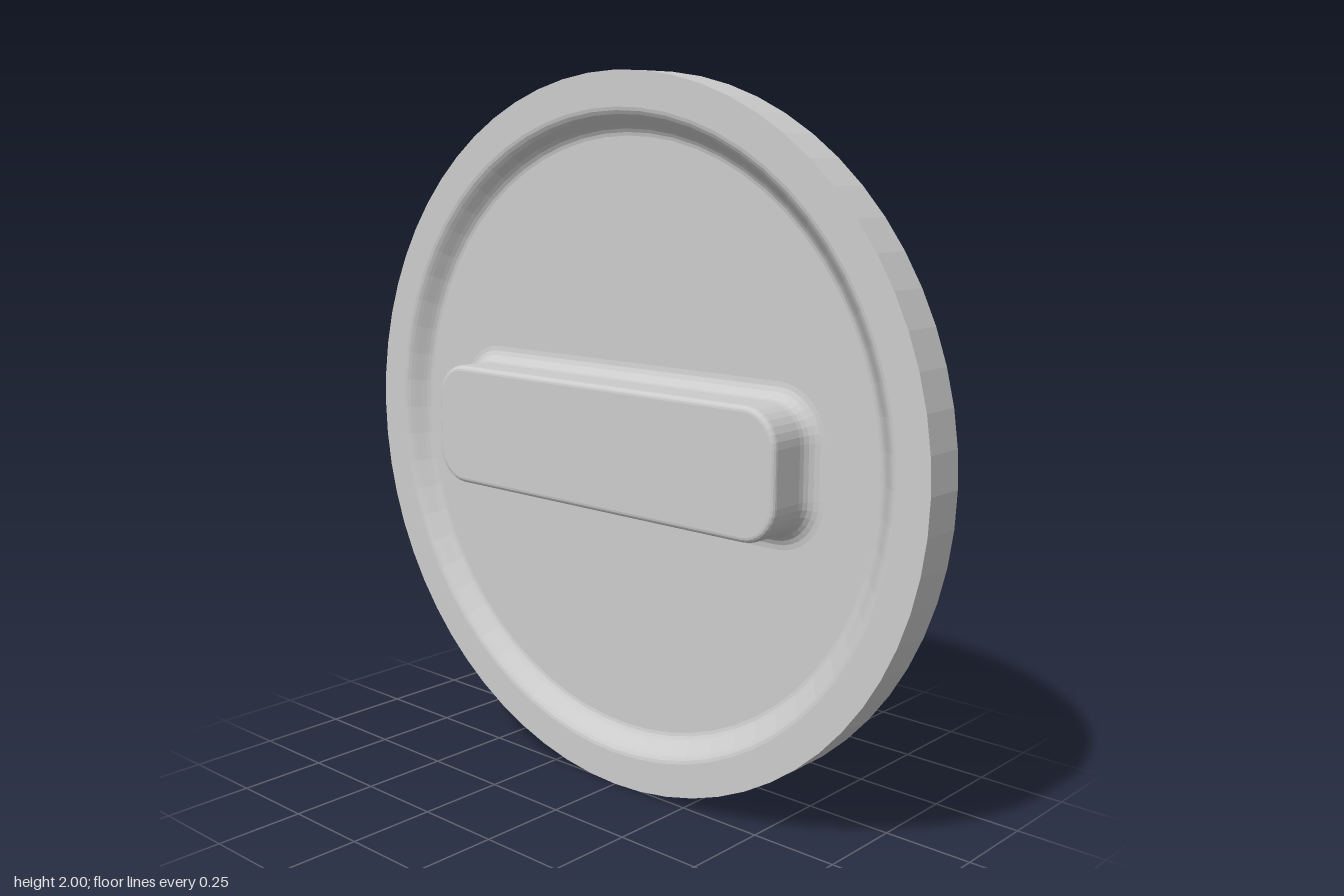
import * as THREE from 'three';

const BACK = -0.11, RIM = 0.01, FLOOR = -0.04, TOP = 0.11;
const material = new THREE.MeshStandardMaterial({ color: 0xcccccc, flatShading: true });

// Round plate with a flat rim and a softly stepped recess in the front
function makePlate() {
  const points = [[0, BACK], [1, BACK], [1, RIM]].map(p => new THREE.Vector2(...p));
  const outer = 0.905, inner = 0.83, steps = 8;
  for (let i = 0; i <= steps; i++) {
    const t = i / steps;
    const ease = t * t * (3 - 2 * t);
    points.push(new THREE.Vector2(outer + (inner - outer) * t, RIM + (FLOOR - RIM) * ease));
  }
  points.push(new THREE.Vector2(0, FLOOR));
  const geometry = new THREE.LatheGeometry(points, 64);
  geometry.rotateX(Math.PI / 2);
  return geometry;
}

// Counter-clockwise rounded rectangle, grown outwards by an offset
function roundedLoop(offset, halfW, halfH, radius, cornerSteps) {
  const loop = [];
  [[1, 1], [-1, 1], [-1, -1], [1, -1]].forEach(([sx, sy], corner) => {
    for (let i = 0; i <= cornerSteps; i++) {
      const a = (corner + i / cornerSteps) * Math.PI / 2;
      loop.push([
        sx * (halfW - radius) + Math.cos(a) * (radius + offset),
        sy * (halfH - radius) + Math.sin(a) * (radius + offset),
      ]);
    }
  });
  return loop;
}

// Raised bar: concave fillet at the foot, straight wall, small rounded top edge
function makeBar() {
  const foot = 0.045, edge = 0.015;
  const sections = [];
  for (let i = 0; i <= 5; i++) {
    const t = i / 5 * Math.PI / 2;
    sections.push([foot * (1 - Math.sin(t)), FLOOR + foot * (1 - Math.cos(t))]);
  }
  for (let i = 0; i <= 4; i++) {
    const t = i / 4 * Math.PI / 2;
    sections.push([edge * (Math.cos(t) - 1), TOP - edge + edge * Math.sin(t)]);
  }
  const positions = [], indices = [];
  let n = 0;
  for (const [offset, z] of sections) {
    const loop = roundedLoop(offset, 0.622, 0.174, 0.1, 8);
    n = loop.length;
    loop.forEach(([x, y]) => positions.push(x, y, z));
  }
  const last = sections.length - 1;
  const centre = positions.length / 3;
  positions.push(0, 0, TOP);
  for (let i = 0; i < n; i++) {
    const j = (i + 1) % n;
    for (let s = 0; s < last; s++) {
      const a = s * n, b = a + n;
      indices.push(a + i, a + j, b + j, a + i, b + j, b + i);
    }
    indices.push(last * n + i, last * n + j, centre);
  }
  const geometry = new THREE.BufferGeometry();
  geometry.setAttribute('position', new THREE.Float32BufferAttribute(positions, 3));
  geometry.setIndex(indices);
  geometry.computeVertexNormals();
  return geometry;
}

export function createModel() {
  const group = new THREE.Group();
  group.name = 'roundPlateWithBar';
  const parts = { plate: makePlate(), raisedBar: makeBar() };
  for (const [name, geometry] of Object.entries(parts)) {
    const mesh = new THREE.Mesh(geometry, material);
    mesh.name = name;
    mesh.position.y = 1;
    group.add(mesh);
  }
  return group;
}
